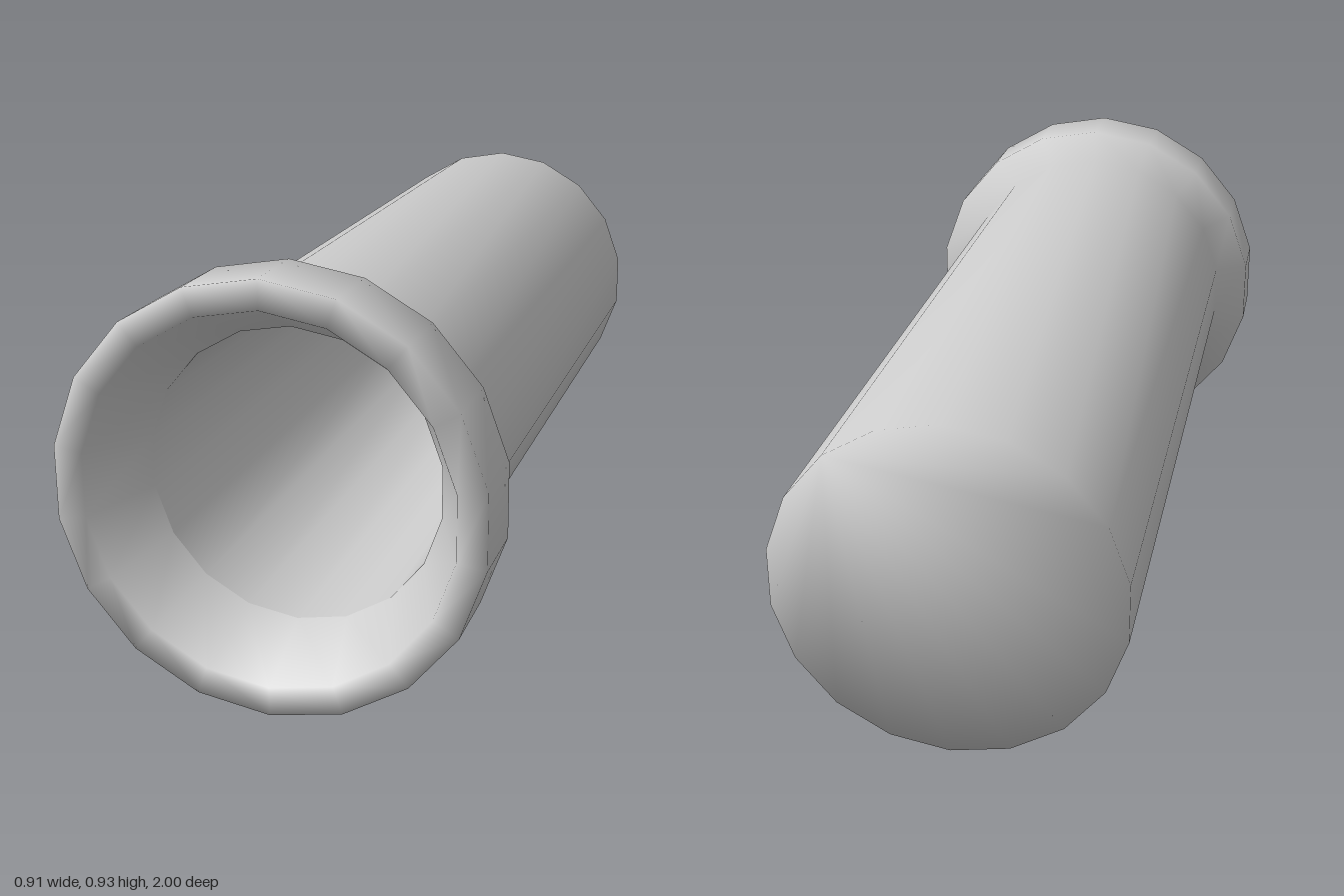
import * as THREE from 'three';

const SIDES = 18;
const RIM = 0.4625; // outer radius of the collar

// Revolve [radius, z] points around the z axis
function revolve(name, profile, material, fanFrom = -1) {
  const n = profile.length;
  const geo = new THREE.LatheGeometry(profile.map(([r, z]) => new THREE.Vector2(r, z)), SIDES);
  if (fanFrom >= 0) {
    // Collapse the axis vertices onto one edge vertex, so the end is a flat fan with soft normals
    const src = fanFrom * n + 1;
    for (const attr of [geo.attributes.position, geo.attributes.normal]) {
      for (let i = 0; i <= SIDES; i++) {
        attr.setXYZ(i * n, attr.getX(src), attr.getY(src), attr.getZ(src));
      }
    }
  }
  geo.rotateX(Math.PI / 2);
  const mesh = new THREE.Mesh(geo, material);
  mesh.name = name;
  mesh.position.y = RIM;
  return mesh;
}

export function createModel() {
  const group = new THREE.Group();
  group.name = 'flangedTube';
  const grey = new THREE.MeshStandardMaterial({ color: 0xcccccc });

  // Closed back end, tube, shoulder, collar, lip and tapered mouth in one soft shell
  group.add(revolve('tubeAndCollar', [
    [0, -1], [0.375, -1], [0.375, 0.83], [RIM, 0.83], [RIM, 1], [0.4, 1], [0.323, 0.83],
  ], grey, 7));

  // Straight bore behind the mouth
  group.add(revolve('bore', [[0.323, 0.83], [0.323, -0.95]], grey));

  // Flat floor at the end of the bore
  group.add(revolve('boreFloor', [[0.323, -0.95], [0, -0.95]], grey));

  return group;
}
